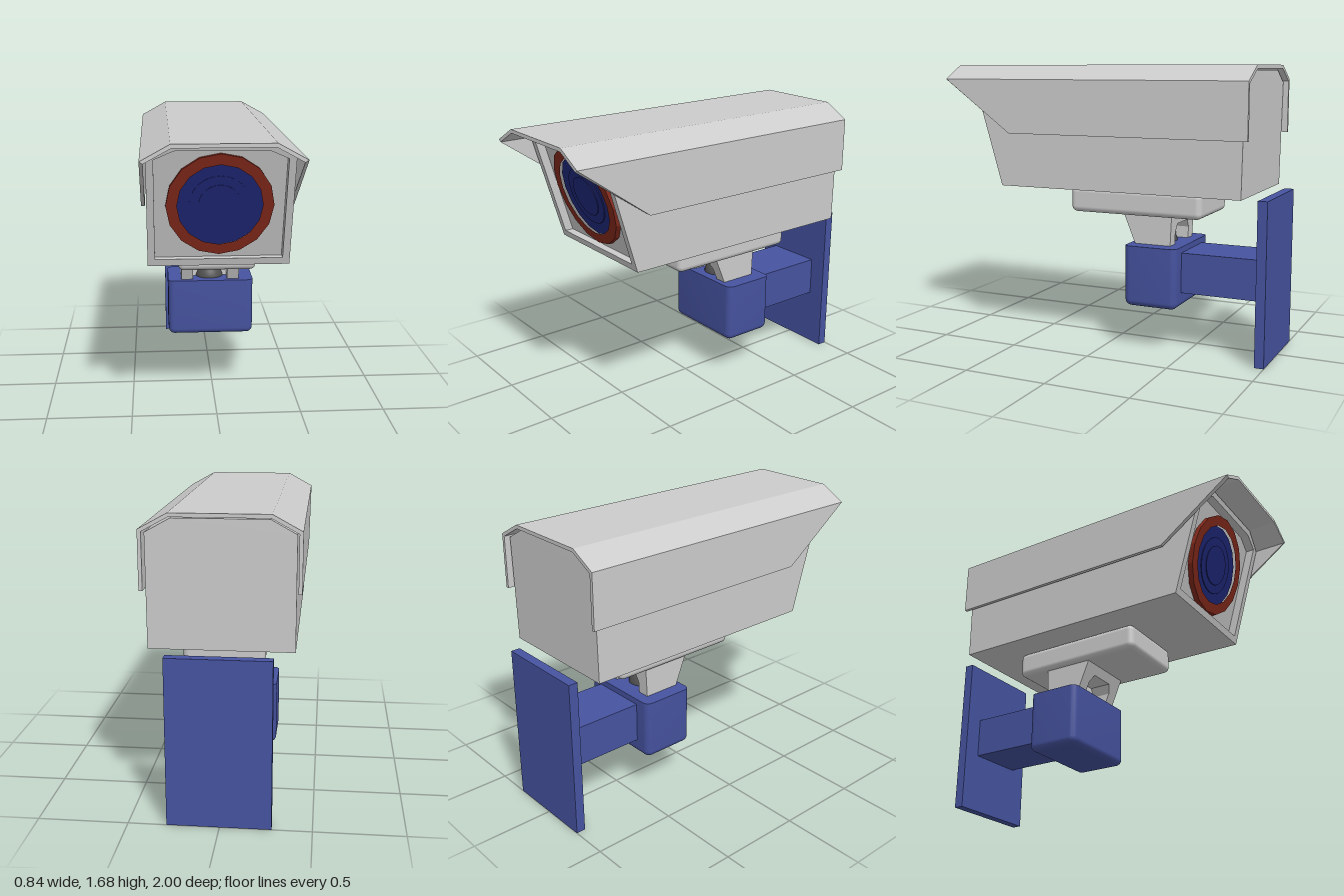
import * as THREE from 'three';
import { toCreasedNormals } from 'three/addons/utils/BufferGeometryUtils.js';
import { RoundedBoxGeometry } from 'three/addons/geometries/RoundedBoxGeometry.js';

const material = (color) => new THREE.MeshStandardMaterial({ color });
const grey = material(0xcccccc);
const blue = material(0x4653a0);
const lensBlue = material(0x1f2878);
const red = material(0x852a1c);
const dark = material(0x505050);

const LENS_Y = 1.312;
const RECESS = 0.05;

// Sloping plane of the camera face: z as a function of height
const face = (y) => 0.63 + 0.293 * (y - 0.96);

function polygon(points) {
  return new THREE.Shape(points.map(([x, y]) => new THREE.Vector2(x, y)));
}

// Closed outline mirrored about x = 0, from its right half listed bottom to top
function mirrored(half) {
  return [...half, ...half.map(([x, y]) => [-x, y]).reverse()];
}

function ngon(radius, sides = 16) {
  return Array.from({ length: sides }, (_, i) => {
    const a = (i / sides) * Math.PI * 2;
    return [radius * Math.sin(a), LENS_Y + radius * Math.cos(a)];
  });
}

// Prism between two end surfaces, each giving z as a function of y
function prism(outline, hole, back, front) {
  const shape = polygon(outline);
  if (hole) shape.holes.push(polygon(hole));
  const geo = new THREE.ExtrudeGeometry(shape, { depth: 1, bevelEnabled: false });
  const p = geo.attributes.position;
  for (let i = 0; i < p.count; i++) {
    const y = p.getY(i);
    p.setZ(i, p.getZ(i) > 0.5 ? front(y) : back(y));
  }
  geo.computeVertexNormals();
  return geo;
}

export function createModel() {
  const model = new THREE.Group();
  const add = (name, geo, mat, x = 0, y = 0, z = 0) => {
    const mesh = new THREE.Mesh(geo, mat);
    mesh.name = name;
    mesh.position.set(x, y, z);
    model.add(mesh);
    return mesh;
  };

  // Sun hood: folded sheet with the lower front corners cut back
  const hood = [
    ...mirrored([[0.42, 1.28], [0.42, 1.6], [0.265, 1.685]]),
    ...mirrored([[0.4, 1.28], [0.4, 1.588], [0.26, 1.664]]).reverse(),
  ];
  add('sunHood', prism(hood, null, () => -0.92,
    (y) => Math.min(1, 0.56 + ((y - 1.28) / 0.305) * 0.44)), grey);

  // Housing with a raised rim around the recessed face
  const section = mirrored([[0.39, 0.96], [0.39, 1.58], [0.255, 1.655]]);
  const opening = mirrored([[0.35, 1.0], [0.35, 1.575], [0.245, 1.622]]);
  const floor = (y) => face(y) - RECESS;
  add('cameraBody', prism(section, null,
    (y) => (y < 1 ? -0.88 : -0.89), floor), grey);
  add('faceRim', prism(section, opening, floor, face), grey);

  // Lens: red ring around stepped blue discs
  const above = (h) => (y) => floor(y) + h;
  add('lensRing', prism(ngon(0.29), ngon(0.23), floor, above(0.03)), red);
  [0.235, 0.165, 0.115].forEach((r, i) => {
    add('lensDisc' + (i + 1), prism(ngon(r, i ? 32 : 16), null, floor, above(0.012 + i * 0.005)), lensBlue);
  });

  // Mounting pad under the body
  add('mountPad', new RoundedBoxGeometry(0.465, 0.155, 0.835, 4, 0.035), grey, 0.018, 0.883, -0.182);

  // Neck: two tapered cheeks joined by a web and a top block
  const neckFront = (y) => -0.165 + ((y - 0.63) / 0.175) * 0.072;
  const neckBack = (y) => -0.39 - ((y - 0.63) / 0.175) * 0.008;
  const yoke = [
    [-0.185, 0.6], [-0.11, 0.6], [-0.11, 0.7], [-0.08, 0.75], [0.08, 0.75],
    [0.11, 0.7], [0.11, 0.6], [0.185, 0.6], [0.185, 0.81], [-0.185, 0.81],
  ];
  add('neckYoke', prism(yoke, null, neckBack, neckFront), grey);
  add('neckWeb', new THREE.BoxGeometry(0.23, 0.2, 0.06), grey, 0, 0.68, -0.28);
  add('pivotBall', new THREE.SphereGeometry(0.09, 24, 16), dark, 0, 0.62, -0.27);

  // Joint housing: rounded block whose top is pressed flat
  const w = 0.545, h = 0.365, d = 0.33, r = 0.04;
  let joint = new RoundedBoxGeometry(w, h, d, 4, r);
  const p = joint.attributes.position;
  for (let i = 0; i < p.count; i++) {
    if (p.getY(i) > h / 2 - r - 1e-4) p.setY(i, h / 2);
  }
  joint = toCreasedNormals(joint, 0.6);
  add('jointHousing', joint, blue, 0.003, 0.265 + h / 2, -0.295);

  // Arm and wall plate
  add('wallArm', new THREE.BoxGeometry(0.35, 0.24, 0.51), blue, 0.005, 0.475, -0.695);
  add('wallPlate', new THREE.BoxGeometry(0.57, 0.948, 0.056), blue, 0.004, 0.474, -0.972);

  return model;
}
